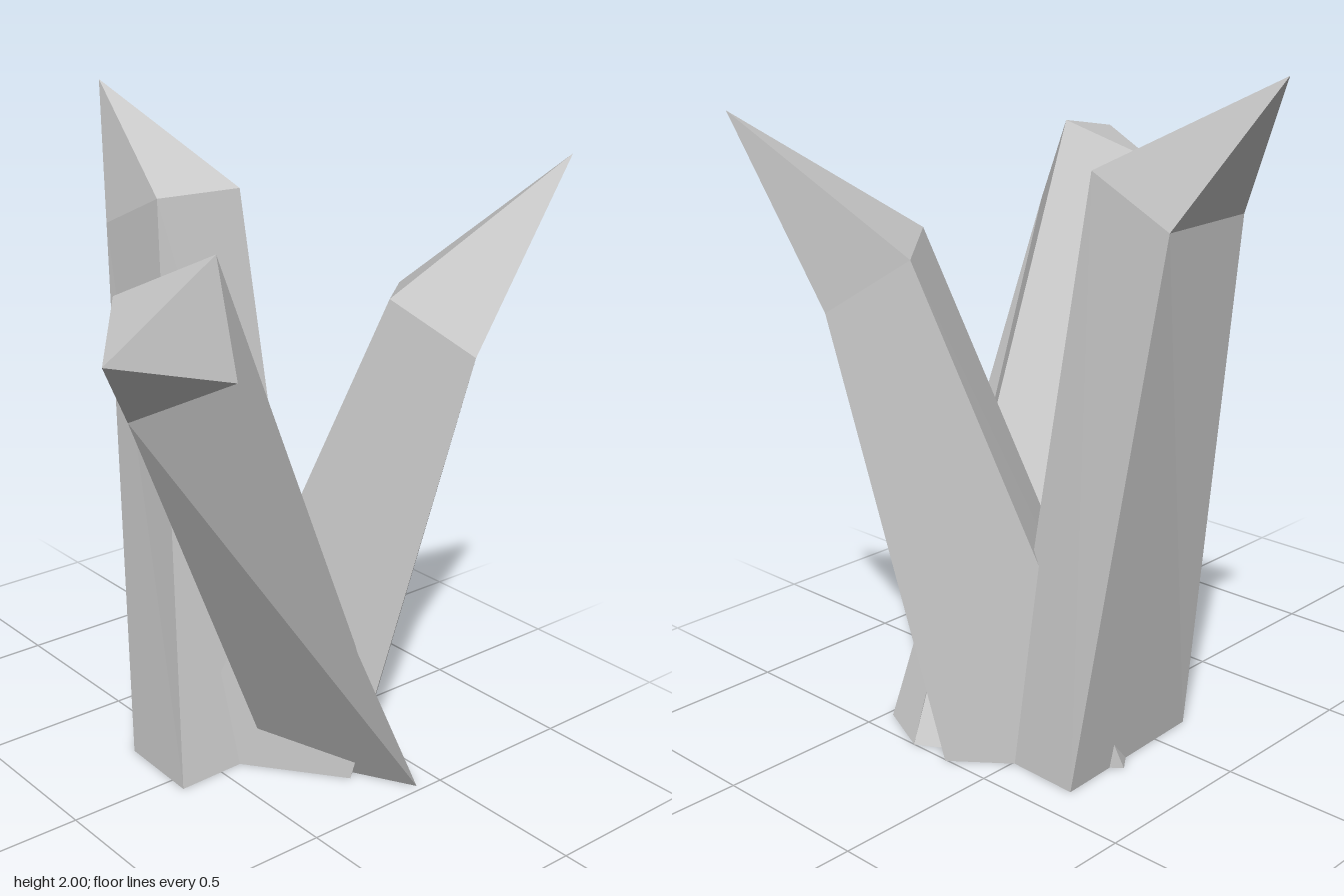
import * as THREE from 'three';

const material = new THREE.MeshStandardMaterial({ color: 0xcccccc, flatShading: true });

// A four-sided leaning shard: base corners [x, z] and shoulder corners [x, y, z]
// both run clockwise seen from above, then the sides meet at an off-centre tip.
function crystal(name, base, shoulder, tip) {
  const low = base.map(([x, z]) => [x, 0, z]);
  const points = [];
  const n = low.length;
  for (let i = 0; i < n; i++) {
    const j = (i + 1) % n;
    points.push(low[i], shoulder[i], shoulder[j]); // side
    points.push(low[i], shoulder[j], low[j]);
    points.push(shoulder[i], tip, shoulder[j]); // point
    if (i > 0 && i < n - 1) points.push(low[0], low[i], low[i + 1]); // underside
  }
  const geometry = new THREE.BufferGeometry();
  geometry.setAttribute('position', new THREE.Float32BufferAttribute(points.flat(), 3));
  geometry.computeVertexNormals();
  const mesh = new THREE.Mesh(geometry, material);
  mesh.name = name;
  return mesh;
}

export function createModel() {
  const group = new THREE.Group();
  group.name = 'crystalCluster';

  // Tall shard leaning to the model's right
  group.add(crystal('tallCrystal',
    [[-0.21, 0.14], [-0.235, -0.39], [0.045, -0.38], [0.06, 0.15]],
    [[-0.49, 1.62, 0.01], [-0.48, 1.61, -0.28], [-0.21, 1.735, -0.27], [-0.22, 1.74, 0.02]],
    [-0.72, 2, -0.13]));

  // Shard leaning to the back left
  group.add(crystal('backCrystal',
    [[-0.09, 0.04], [-0.26, -0.19], [0.155, -0.505], [0.325, -0.29]],
    [[0.37, 1.52, -0.33], [0.18, 1.49, -0.55], [0.37, 1.34, -0.69], [0.56, 1.37, -0.48]],
    [0.53, 1.88, -0.85]));

  // Shard leaning to the front left
  group.add(crystal('frontCrystal',
    [[-0.12, -0.28], [0.295, -0.5], [0.48, -0.42], [0.065, -0.18]],
    [[0.21, 1.63, 0.47], [0.41, 1.75, 0.3], [0.585, 1.48, 0.37], [0.38, 1.36, 0.55]],
    [0.72, 1.65, 0.85]));

  return group;
}
